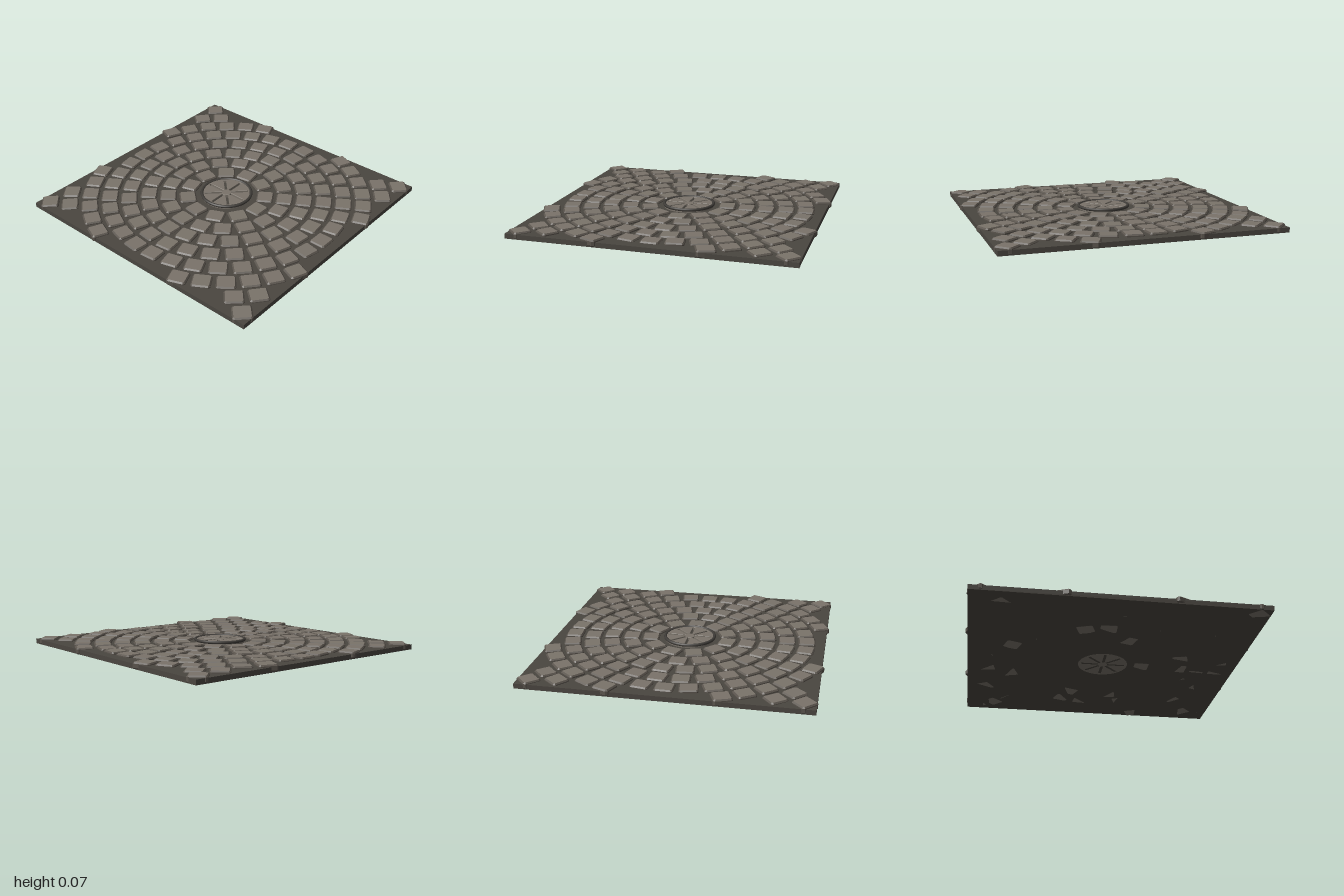
import * as THREE from 'three';

const mat = (name, color) => Object.assign(new THREE.MeshStandardMaterial({ color }), { name });

// Extrudes a flat outline upwards from y = 0, with a bevelled rim
function slab(shape, height, bevel, curveSegments = 1) {
  const geo = new THREE.ExtrudeGeometry(shape, {
    depth: height - 2 * bevel, bevelEnabled: true, bevelThickness: bevel,
    bevelSize: bevel, bevelOffset: -bevel, bevelSegments: 1, curveSegments,
  });
  return geo.translate(0, 0, bevel).rotateX(-Math.PI / 2);
}

function stoneShape(w, d, cut) {
  const x = w / 2, y = d / 2, s = new THREE.Shape();
  s.moveTo(-x + cut, -y).lineTo(x - cut, -y).lineTo(x, -y + cut).lineTo(x, y - cut);
  s.lineTo(x - cut, y).lineTo(-x + cut, y).lineTo(-x, y - cut).lineTo(-x, -y + cut);
  s.closePath();
  return s;
}

// Disc with radial slots cut through it
function grateShape(radius, slots, inner, outer, halfWidth) {
  const s = new THREE.Shape();
  s.absarc(0, 0, radius, 0, Math.PI * 2, false);
  for (let i = 0; i < slots; i++) {
    const a = (i / slots) * Math.PI * 2, c = Math.cos(a), n = Math.sin(a);
    const corners = [[inner, -halfWidth], [inner, halfWidth], [outer, halfWidth], [outer, -halfWidth]];
    s.holes.push(new THREE.Path(corners.map(([u, v]) => new THREE.Vector2(u * c - v * n, u * n + v * c))));
  }
  return s;
}

export function createModel() {
  const root = new THREE.Group();
  root.name = 'cobbledPaving';
  const mortar = mat('dark mortar', 0x4a4640);
  const stoneTop = mat('stone', 0x7a736a);
  const stoneSide = mat('stone edge', 0x59534c);
  const iron = mat('dark iron', 0x3f3c38);

  let seed = 7;
  const rand = () => (seed = (seed * 16807) % 2147483647) / 2147483647;

  // Mortar bed
  const bed = new THREE.Mesh(new THREE.BoxGeometry(1.952, 0.034, 1.952), mortar);
  bed.name = 'mortarBed';
  bed.position.y = 0.021;
  root.add(bed);

  // Concentric rings of stones, every other ring staggered by half a stone
  const stoneGeo = slab(stoneShape(0.122, 0.13, 0.012), 0.046, 0.009);
  const pitch = 0.1414, limit = 0.919;
  for (let k = 2; k <= 9; k++) {
    const ring = new THREE.Group();
    ring.name = `stoneRing${k - 1}`;
    const count = Math.floor(5.785 * k), r = pitch * k;
    for (let i = 0; i < count; i++) {
      const a = ((i + (k % 2) / 2) / count) * Math.PI * 2;
      const x = r * Math.cos(a), z = r * Math.sin(a);
      if (Math.max(Math.abs(x), Math.abs(z)) > limit) continue;
      const stone = new THREE.Mesh(stoneGeo, [stoneTop, stoneSide]);
      stone.name = 'stone';
      stone.position.set(x, 0.0035 + rand() * 0.006, z);
      stone.rotation.set((rand() - 0.5) * 0.03, -a, (rand() - 0.5) * 0.03, 'YXZ');
      ring.add(stone);
    }
    root.add(ring);
  }

  // Round drain cover in the middle
  const drain = new THREE.Group();
  drain.name = 'drainCover';
  const plate = new THREE.Mesh(slab(grateShape(0.18, 8, 0.035, 0.158, 0.009), 0.058, 0.002, 24), stoneTop);
  plate.name = 'slottedPlate';
  plate.position.y = 0.003;
  const rim = new THREE.Mesh(new THREE.TorusGeometry(0.179, 0.011, 8, 48).rotateX(Math.PI / 2), iron);
  rim.name = 'drainRim';
  rim.position.y = 0.058;
  drain.add(plate, rim);
  root.add(drain);

  return root;
}
